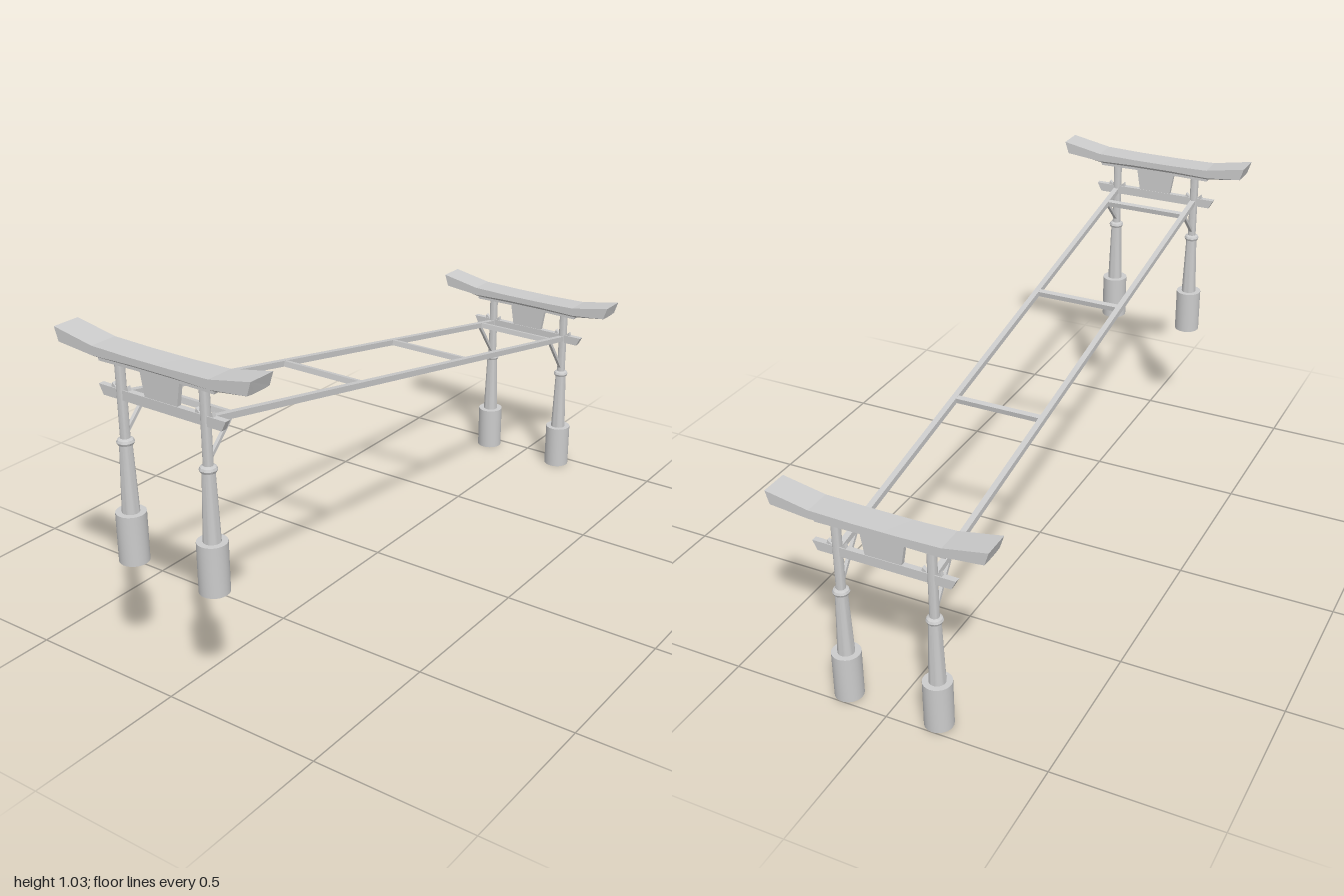
import * as THREE from 'three';
import { toCreasedNormals } from 'three/addons/utils/BufferGeometryUtils.js';

const POST_X = 0.146, GATE_Z = 0.957, RISE = 0.37;
const grey = new THREE.MeshStandardMaterial({ color: 0xcccccc, side: THREE.DoubleSide });
const railY = z => 0.68 + (RISE / (2 * GATE_Z)) * z;

function add(parent, geometry, name, x = 0, y = 0, z = 0) {
  const mesh = new THREE.Mesh(geometry, grey);
  mesh.name = name;
  mesh.position.set(x, y, z);
  parent.add(mesh);
  return mesh;
}

// Surface of revolution with crisp rims
function turned(points) {
  const profile = points.map(([r, y]) => new THREE.Vector2(r, y));
  return toCreasedNormals(new THREE.LatheGeometry(profile, 24), 0.6);
}

// Flat outline extruded evenly about z = 0
function plate(points, depth) {
  const shape = new THREE.Shape(points.map(([x, y]) => new THREE.Vector2(x, y)));
  return new THREE.ExtrudeGeometry(shape, { depth, bevelEnabled: false }).translate(0, 0, -depth / 2);
}

// Square bar between two points
function bar(parent, name, a, b, size) {
  const from = new THREE.Vector3(...a), to = new THREE.Vector3(...b);
  const mesh = add(parent, new THREE.BoxGeometry(size, size, from.distanceTo(to)), name);
  mesh.position.addVectors(from, to).multiplyScalar(0.5);
  mesh.lookAt(to);
  return mesh;
}

// Upswept roof: sections [x of top, x of bottom, top, side bottom, keel]
function roofGeometry() {
  const half = [[0.07, 0.07, 0.629, 0.609, 0.596], [0.2, 0.2, 0.632, 0.605, 0.594], [0.335, 0.322, 0.657, 0.617, 0.615]];
  const mirrored = half.map(([a, b, ...ys]) => [-a, -b, ...ys]).reverse();
  const sections = [...mirrored, ...half].map(([xt, xb, top, side, keel]) => [
    [xt, top, 0.043], [xb, side, 0.043], [xb, keel, 0.024],
    [xb, keel, -0.024], [xb, side, -0.043], [xt, top, -0.043]
  ]);
  const n = 6, last = sections.length - 1, index = [];
  for (let s = 0; s < last; s++) {
    for (let k = 0; k < n; k++) {
      const a = s * n + k, b = s * n + (k + 1) % n;
      index.push(a, b, a + n, b, b + n, a + n);
    }
  }
  for (let k = 1; k < n - 1; k++) {
    index.push(0, k + 1, k, last * n, last * n + k, last * n + k + 1);
  }
  const geometry = new THREE.BufferGeometry();
  geometry.setAttribute('position', new THREE.Float32BufferAttribute(sections.flat(2), 3));
  geometry.setIndex(index);
  return toCreasedNormals(geometry, 0.05);
}

function createGate() {
  const gate = new THREE.Group();

  // Posts: hollow footing, tapered shaft, collar, slender upper post
  const footing = turned([[0.043, 0], [0.043, 0.15], [0, 0.15]]);
  const shaft = turned([[0.025, 0.15], [0.018, 0.352]]);
  const collar = turned([[0.017, 0.35], [0.022, 0.352], [0.025, 0.359], [0.022, 0.366], [0.014, 0.37]]);
  const upper = turned([[0.014, 0.36], [0.014, 0.59]]);
  for (const side of [-1, 1]) {
    const post = new THREE.Group();
    post.name = side > 0 ? 'leftPost' : 'rightPost';
    post.position.x = side * POST_X;
    add(post, footing, 'footing');
    add(post, shaft, 'taperedShaft');
    add(post, collar, 'collar');
    add(post, upper, 'upperPost');
    // Wedges locking the tie beam on both sides of the post
    for (const w of [-1, 1]) {
      add(post, plate([[w * 0.012, 0.505], [w * 0.032, 0.505], [w * 0.027, 0.524], [w * 0.012, 0.51]], 0.012), 'wedge');
    }
    gate.add(post);
  }

  // Tie beam with slanted ends, centre panel, lintel and roof
  add(gate, plate([[-0.205, 0.482], [0.205, 0.482], [0.22, 0.511], [-0.22, 0.511]], 0.018), 'tieBeam');
  add(gate, plate([[-0.056, 0.508], [0.056, 0.508], [0.07, 0.59], [-0.07, 0.59]], 0.014), 'centrePanel');
  add(gate, plate([[-0.198, 0.585], [-0.07, 0.587], [0.07, 0.587], [0.198, 0.585],
    [0.203, 0.598], [0.07, 0.6], [-0.07, 0.6], [-0.203, 0.598]], 0.046), 'lintel');
  add(gate, roofGeometry(), 'roof');
  return gate;
}

export function createModel() {
  const model = new THREE.Group();
  model.name = 'gatewayFrame';

  // Upper gate in front, lower gate behind
  for (const end of [1, -1]) {
    const gate = createGate();
    gate.name = end > 0 ? 'frontGate' : 'backGate';
    gate.position.set(0, end > 0 ? RISE : 0, end * GATE_Z);
    model.add(gate);
  }

  // Sloping rails with a diagonal brace at each post
  for (const side of [-1, 1]) {
    const x = side * POST_X;
    bar(model, 'rail', [x, railY(-0.965), -0.965], [x, railY(0.965), 0.965], 0.018);
    bar(model, 'frontBrace', [x, 0.75, 0.955], [x, railY(0.86), 0.86], 0.01);
    bar(model, 'backBrace', [x, 0.378, -0.955], [x, railY(-0.855), -0.855], 0.01);
  }

  // Rungs tilted with the rails
  for (const z of [-0.865, -0.29, 0.285, 0.86]) {
    const rung = add(model, new THREE.BoxGeometry(2 * POST_X, 0.017, 0.017), 'rung', 0, railY(z), z);
    rung.rotation.x = -Math.atan(RISE / (2 * GATE_Z));
  }
  return model;
}
